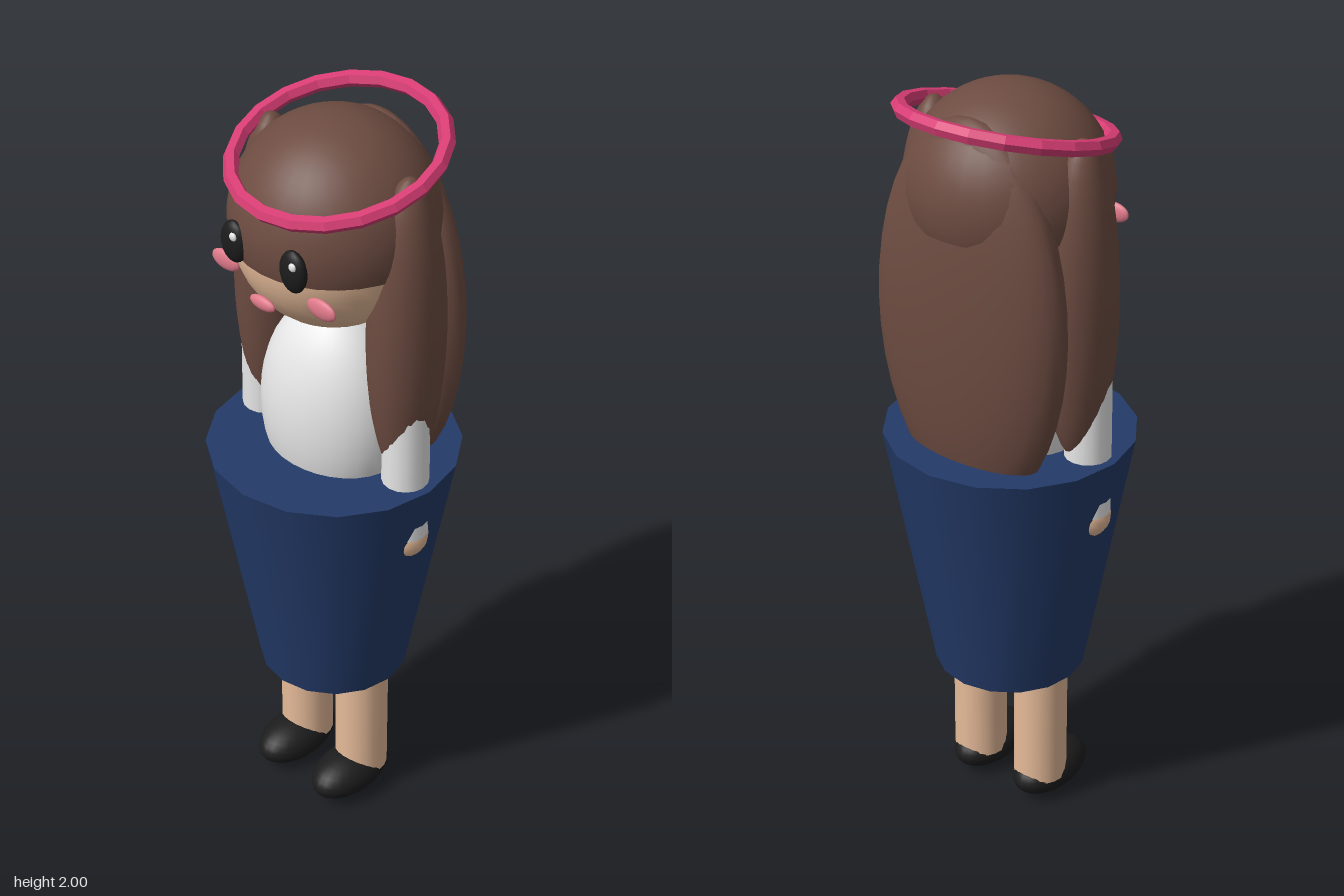
import * as THREE from 'three';

const mat = (name, color, extra = {}) => new THREE.MeshStandardMaterial({ name, color, ...extra });

export function createModel() {
  const model = new THREE.Group();
  model.name = 'doll';

  const skin = mat('skin', 0xe6bb99);
  const hair = mat('brown hair', 0x6d4c41);
  const hairCap = hair.clone();
  hairCap.side = THREE.DoubleSide;
  const white = mat('white cloth', 0xf0f0f0);
  const navy = mat('navy skirt', 0x233a68);
  const black = mat('black', 0x1c1c1c);
  const pink = mat('blush pink', 0xe07a8a);
  const magenta = mat('magenta band', 0xd83d74, { flatShading: true });

  const add = (name, geometry, material, x, y, z) => {
    const mesh = new THREE.Mesh(geometry, material);
    mesh.name = name;
    mesh.position.set(x, y, z);
    model.add(mesh);
    return mesh;
  };
  const ellipsoid = (name, material, [x, y, z], [rx, ry, rz], w = 32, h = 20) =>
    add(name, new THREE.SphereGeometry(1, w, h).scale(rx, ry, rz), material, x, y, z);

  // Torso and skirt
  ellipsoid('torso', white, [0, 1.2, 0], [0.2, 0.3, 0.16]);
  add('skirt', new THREE.CylinderGeometry(0.32, 0.195, 0.68, 16), navy, 0, 0.75, 0);

  // Head, with a hair cap that ends in a fringe line above the face
  ellipsoid('head', skin, [0, 1.715, 0], [0.245, 0.245, 0.245]);
  add('hairCap', new THREE.SphereGeometry(0.255, 32, 20, 0, Math.PI * 2, 0, 1.81),
    hairCap, 0, 1.745, -0.005);
  ellipsoid('backHair', hair, [0, 1.45, -0.15], [0.275, 0.51, 0.11]);

  // Paired parts
  for (const [side, s] of [['left', 1], ['right', -1]]) {
    ellipsoid(side + 'SideHair', hair, [s * 0.22, 1.5, -0.015], [0.09, 0.42, 0.103]);
    add(side + 'Arm', new THREE.CylinderGeometry(0.057, 0.06, 0.48, 16), white, s * 0.239, 1.175, 0);
    ellipsoid(side + 'Hand', skin, [s * 0.24, 0.92, 0], [0.06, 0.06, 0.06], 16, 12);
    add(side + 'Leg', new THREE.CylinderGeometry(0.07, 0.07, 0.4, 20), skin, s * 0.1, 0.27, 0);
    ellipsoid(side + 'Shoe', black, [s * 0.1, 0.062, 0.043], [0.075, 0.06, 0.128], 24, 16);

    // Face
    ellipsoid(side + 'Eye', black, [s * 0.095, 1.73, 0.234], [0.04, 0.055, 0.021], 16, 12);
    ellipsoid(side + 'EyeGlint', white, [s * 0.095 + 0.012, 1.753, 0.25], [0.011, 0.011, 0.006], 10, 8);
    ellipsoid(side + 'Cheek', pink, [s * 0.155, 1.64, 0.205], [0.045, 0.026, 0.012], 16, 12);
  }
  ellipsoid('mouth', pink, [0, 1.605, 0.24], [0.04, 0.018, 0.012], 16, 12);

  // Tilted band around the crown, low at the front
  const band = add('headband', new THREE.TorusGeometry(0.254, 0.02, 6, 20), magenta, 0, 1.906, -0.014);
  band.rotation.x = Math.PI / 2 + 0.255;

  return model;
}
